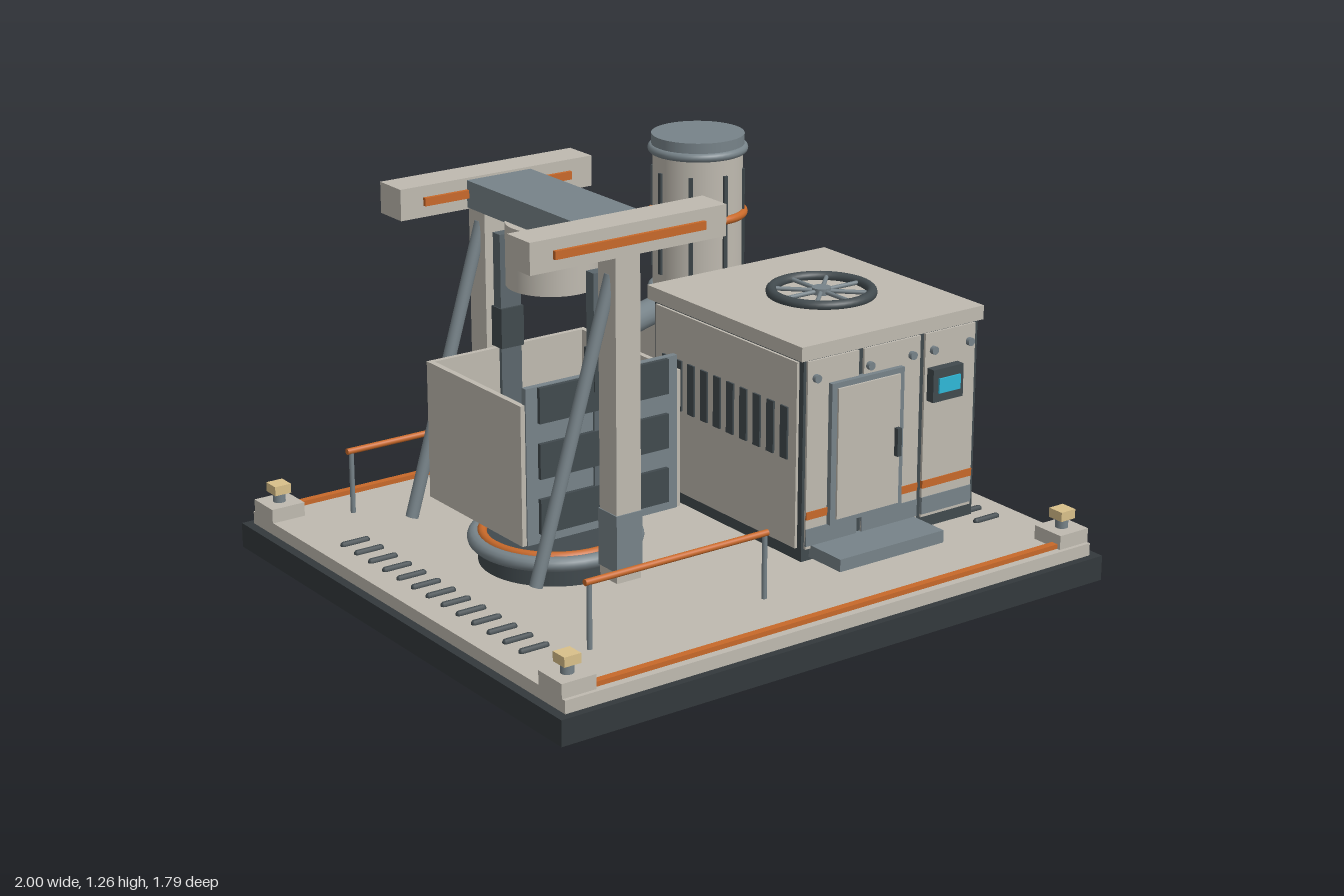
import * as THREE from 'three';

const mat = (color, side = THREE.FrontSide) => new THREE.MeshStandardMaterial({ color, side });
const BEIGE = mat(0xbfbab0), GREY = mat(0x778389), DARK = mat(0x414a4e), BLACK = mat(0x33393c);
const ORANGE = mat(0xc8692a), GOLD = mat(0xd9c08a), CYAN = mat(0x2fb8d8);

export function createModel() {
  const root = new THREE.Group();
  root.name = 'industrialStation';
  let parent = root;

  const group = (name) => {
    parent = new THREE.Group();
    parent.name = name;
    root.add(parent);
  };
  const add = (name, geo, m, x, y, z) => {
    const mesh = new THREE.Mesh(geo, m);
    mesh.name = name;
    mesh.position.set(x, y, z);
    parent.add(mesh);
    return mesh;
  };
  // Box given by its extents on each axis
  const box = (name, m, x0, x1, y0, y1, z0, z1) =>
    add(name, new THREE.BoxGeometry(x1 - x0, y1 - y0, z1 - z0), m, (x0 + x1) / 2, (y0 + y1) / 2, (z0 + z1) / 2);
  // Upright cylinder given by its bottom and top
  const cyl = (name, m, r, x, z, y0, y1, seg = 40) =>
    add(name, new THREE.CylinderGeometry(r, r, y1 - y0, seg), m, x, (y0 + y1) / 2, z);
  // Horizontal ring
  const ring = (name, m, r, tube, x, y, z) => {
    const t = add(name, new THREE.TorusGeometry(r, tube, 12, 48), m, x, y, z);
    t.rotation.x = Math.PI / 2;
    return t;
  };
  // Round bar between two points
  const bar = (name, m, r, a, b) => {
    const p = new THREE.Vector3(...a), q = new THREE.Vector3(...b);
    const d = q.clone().sub(p);
    const mesh = add(name, new THREE.CylinderGeometry(r, r, d.length(), 20), m, 0, 0, 0);
    mesh.position.copy(p).add(q).multiplyScalar(0.5);
    mesh.quaternion.setFromUnitVectors(new THREE.Vector3(0, 1, 0), d.normalize());
    return mesh;
  };

  // Base with trim strips, corner fixings and floor slots
  group('base');
  box('baseSlab', BLACK, -1, 1, 0, 0.08, -0.895, 0.895);
  box('deck', BEIGE, -0.97, 0.97, 0.08, 0.12, -0.87, 0.87);
  for (const s of [-1, 1]) {
    box('edgeStrip', ORANGE, -0.86, 0.86, 0.12, 0.135, s * 0.833 - 0.012, s * 0.833 + 0.012);
    for (const t of [-1, 1]) {
      const x = s * 0.915, z = t * 0.8;
      box('cornerBlock', BEIGE, x - 0.057, x + 0.057, 0.12, 0.165, z - 0.057, z + 0.057);
      cyl('cornerPost', GREY, 0.02, x, z, 0.165, 0.195, 16);
      box('cornerLamp', GOLD, x - 0.028, x + 0.028, 0.195, 0.225, z - 0.028, z + 0.028);
    }
    for (let i = 0; i < 13; i++) {
      const slot = add('floorSlot', new THREE.CapsuleGeometry(0.011, 0.08, 4, 10), DARK, s * 0.847, 0.122, -0.453 + i * 0.0822);
      slot.rotation.z = Math.PI / 2;
    }
  }

  // Handrails
  group('handrails');
  for (const z of [-0.68, 0.625]) {
    bar('rail', ORANGE, 0.01, [-0.735, 0.325, z], [-0.09, 0.325, z]);
    for (const x of [-0.72, -0.1]) cyl('railPost', GREY, 0.008, x, z, 0.12, 0.325, 12);
  }

  // Cabinet: dark core showing as seams between proud panels
  group('cabinet');
  box('cabinetCore', DARK, 0.16, 0.84, 0.12, 0.76, -0.28, 0.47);
  box('roof', BEIGE, 0.145, 0.855, 0.76, 0.805, -0.3, 0.48);
  for (const s of [-1, 1]) {
    const zf = s > 0 ? 0.47 : -0.28;
    const face = (name, m, x0, x1, y0, y1, out) =>
      box(name, m, x0, x1, y0, y1, Math.min(zf, zf + s * out), Math.max(zf, zf + s * out));
    for (const [x0, x1] of [[0.17, 0.365], [0.385, 0.605], [0.625, 0.825]]) {
      face('panel', BEIGE, x0, x1, 0.16, 0.755, 0.008);
      face('orangeBand', ORANGE, x0, x1, 0.255, 0.28, 0.011);
      face('greyBand', GREY, x0, x1, 0.17, 0.225, 0.011);
    }
    for (const x of [0.2, 0.405, 0.57, 0.655, 0.8]) {
      const bolt = add('bolt', new THREE.CylinderGeometry(0.013, 0.013, 0.02, 14), GREY, x, 0.7, zf + s * 0.012);
      bolt.rotation.x = Math.PI / 2;
    }
    // Side panel with louvres
    const xs = 0.5 + s * 0.343;
    box('sidePanel', BEIGE, xs - 0.006, xs + 0.006, 0.16, 0.75, -0.265, 0.45);
    for (let i = 0; i < 10; i++) {
      const z = 0.395 - i * 0.0667;
      box('louvre', DARK, xs - 0.012, xs + 0.012, 0.435, 0.6, z - 0.017, z + 0.017);
    }
  }
  box('doorFrame', GREY, 0.25, 0.53, 0.225, 0.675, 0.47, 0.495);
  box('door', BEIGE, 0.27, 0.51, 0.242, 0.658, 0.47, 0.502);
  box('doorHandle', DARK, 0.49, 0.506, 0.4, 0.49, 0.5, 0.518);
  box('screenHousing', DARK, 0.635, 0.755, 0.54, 0.645, 0.47, 0.508);
  box('screen', CYAN, 0.655, 0.74, 0.568, 0.615, 0.5, 0.514);
  box('step', GREY, 0.19, 0.595, 0.13, 0.17, 0.47, 0.62);
  box('stepFoot', DARK, 0.22, 0.565, 0.12, 0.13, 0.48, 0.6);

  // Roof fan guard
  group('fanGuard');
  ring('fanRing', DARK, 0.157, 0.017, 0.53, 0.813, 0.09);
  cyl('fanHub', GREY, 0.03, 0.53, 0.09, 0.8, 0.826, 20);
  for (let i = 0; i < 8; i++) {
    const a = i * Math.PI / 4;
    bar('fanSpoke', GREY, 0.007, [0.53, 0.814, 0.09], [0.53 + 0.155 * Math.cos(a), 0.814, 0.09 + 0.155 * Math.sin(a)]);
  }

  // Filter tank, its control box and the connecting duct
  group('filterTank');
  const tx = 0.558, tz = -0.593;
  cyl('tankBody', BEIGE, 0.147, tx, tz, 0.65, 1.13);
  cyl('tankCap', GREY, 0.152, tx, tz, 1.12, 1.175);
  ring('topRing', GREY, 0.149, 0.015, tx, 1.127, tz);
  ring('middleRing', ORANGE, 0.15, 0.014, tx, 0.912, tz);
  ring('bottomRing', GREY, 0.149, 0.015, tx, 0.655, tz);
  for (let i = 0; i < 8; i++) {
    const a = i * Math.PI / 4;
    const rib = add('tankRib', new THREE.BoxGeometry(0.014, 0.34, 0.014), DARK,
      tx + 0.147 * Math.sin(a), 0.89, tz + 0.147 * Math.cos(a));
    rib.rotation.y = a;
  }
  box('controlBox', BEIGE, 0.41, 0.71, 0.2, 0.543, -0.735, -0.453);
  box('controlBoxHandle', BLACK, 0.45, 0.68, 0.37, 0.385, -0.744, -0.73);
  bar('duct', GREY, 0.043, [-0.125, 0.693, -0.215], [0.5, 0.693, -0.49]);

  // Turntable
  group('turntable');
  const cx = -0.412;
  cyl('turntableBase', DARK, 0.235, cx, 0, 0.12, 0.195, 48);
  ring('outerRing', GREY, 0.245, 0.023, cx, 0.195, 0);
  ring('innerRing', ORANGE, 0.222, 0.015, cx, 0.21, 0);

  // Open chamber with a slatted front
  group('chamber');
  box('leftOuterWall', BEIGE, -0.695, -0.677, 0.3, 0.73, -0.255, 0.25);
  box('rightOuterWall', BEIGE, -0.147, -0.13, 0.3, 0.73, -0.255, 0.25);
  box('backWall', BEIGE, -0.68, -0.145, 0.3, 0.73, -0.255, -0.238);
  box('frontWall', GREY, -0.68, -0.145, 0.3, 0.78, 0.235, 0.255);
  for (const y of [0.33, 0.5, 0.67]) box('frontSlat', DARK, -0.64, -0.185, y, y + 0.108, 0.25, 0.268);

  // Press frame
  group('pressFrame');
  for (const z of [-0.34, 0.34]) {
    box('column', BEIGE, cx - 0.043, cx + 0.043, 0.17, 1.17, z - 0.043, z + 0.043);
    box('columnSleeve', GREY, cx - 0.046, cx + 0.046, 0.205, 0.382, z - 0.047, z + 0.047);
    box('headPlate', BEIGE, -0.752, -0.075, 1.165, 1.26, z - 0.057, z + 0.057);
    box('headStripe', ORANGE, -0.675, -0.155, 1.2, 1.225, z + 0.05, z + 0.069);
    bar('brace', GREY, 0.02, [-0.71, 0.21, z], [-0.44, 1.1, z]);
    const zr = Math.sign(z) * 0.245;
    box('guideRod', mat(0x5c676c), cx - 0.036, cx + 0.036, 0.4, 1.085, zr - 0.019, zr + 0.019);
    box('guideCollar', DARK, cx - 0.04, cx + 0.04, 0.73, 0.855, zr - 0.027, zr + 0.027);
  }
  box('crossBeam', GREY, -0.523, -0.297, 1.17, 1.253, -0.285, 0.285);
  cyl('pressHead', BEIGE, 0.138, cx, 0, 0.985, 1.175);

  return root;
}
